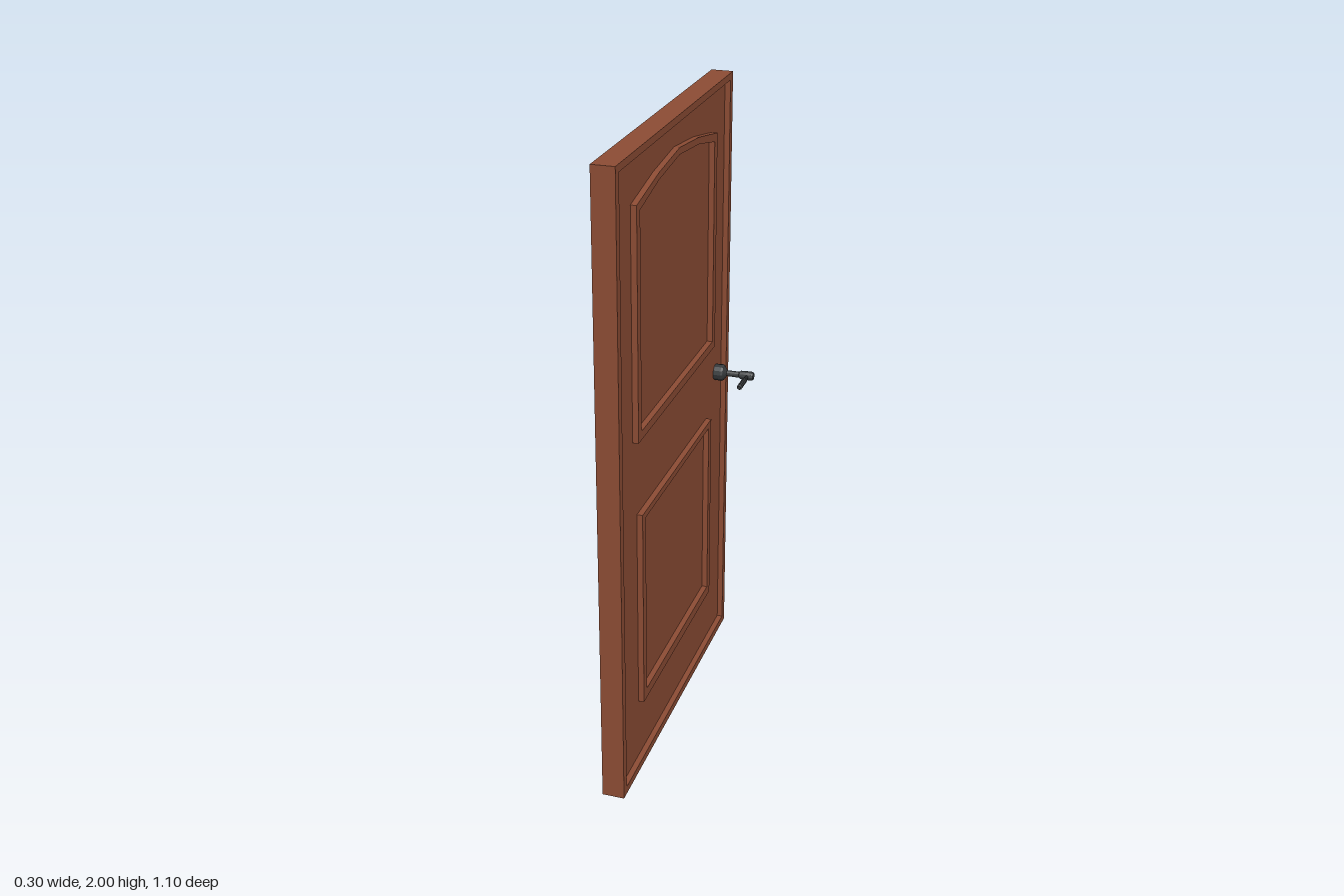
import * as THREE from 'three';

const wood = new THREE.MeshStandardMaterial({ color: 0x8c4c34 });
wood.name = 'wood';
const metal = new THREE.MeshStandardMaterial({ color: 0x35383a, flatShading: true });
metal.name = 'darkMetal';

const HALF = 0.035;   // half thickness of the door
const RECESS = 0.018; // depth of the sunken faces
const AXIS_Y = 1.013;
const AXIS_Z = -0.456;

function mesh(name, geometry, material) {
  const m = new THREE.Mesh(geometry, material);
  m.name = name;
  return m;
}

const points = (list) => list.map(([x, y]) => new THREE.Vector2(x, y));
const rect = (w, y0, y1) => points([[-w, y0], [w, y0], [w, y1], [-w, y1]]);
const arched = (w, y0, yCorner, yMid, yTop) =>
  points([[-w, y0], [w, y0], [w, yCorner], [0.19, yMid], [0, yTop], [-0.19, yMid], [-w, yCorner]]);

// Ring between two outlines, drawn in the door plane and extruded across its thickness
function ring(outer, inner, x0, x1) {
  const shape = new THREE.Shape(outer);
  shape.holes.push(new THREE.Path(inner));
  const g = new THREE.ExtrudeGeometry(shape, { depth: x1 - x0, bevelEnabled: false });
  return g.translate(0, 0, x0).rotateY(Math.PI / 2);
}

// Handle for the +x face, its lever pointing towards the middle of the door
function handle() {
  const group = new THREE.Group();
  const spindle = new THREE.LatheGeometry(points([
    [0.027, HALF - RECESS], [0.028, 0.042], [0.025, 0.048], [0.014, 0.055], [0.010, 0.058],
    [0.010, 0.100], [0.014, 0.105], [0.015, 0.125], [0.015, 0.143], [0.012, 0.149], [0, 0.150],
  ]), 12).rotateZ(-Math.PI / 2);
  const lever = new THREE.LatheGeometry(points([
    [0.006, 0], [0.006, 0.032], [0.009, 0.038], [0.009, 0.100], [0.006, 0.105], [0, 0.105],
  ]), 10).rotateX(Math.PI / 2);
  const grip = mesh('lever', lever, metal);
  grip.position.x = 0.129;
  group.add(mesh('rosetteAndSpindle', spindle, metal), grip);
  group.position.set(0, AXIS_Y, AXIS_Z);
  return group;
}

export function createModel() {
  const door = new THREE.Group();
  door.name = 'door';

  // Core slab and the raised rim around its edge
  const core = mesh('doorCore', new THREE.BoxGeometry(2 * (HALF - RECESS), 1.96, 1.06), wood);
  core.position.y = 1;
  door.add(core);
  door.add(mesh('doorRim', ring(rect(0.55, 0, 2), rect(0.523, 0.025, 1.978), -HALF, HALF), wood));

  // Raised mouldings on both faces
  const mouldings = [
    ['upperMoulding', arched(0.385, 1.135, 1.846, 1.883, 1.903), arched(0.356, 1.162, 1.825, 1.862, 1.882)],
    ['lowerMoulding', rect(0.354, 0.227, 0.886), rect(0.325, 0.26, 0.865)],
  ];
  for (const [name, outer, inner] of mouldings) {
    door.add(mesh(name + 'Left', ring(outer, inner, 0.01, HALF), wood));
    door.add(mesh(name + 'Right', ring(outer, inner, -HALF - 0.002, -0.01), wood));
  }

  // Handles, mirrored across the door
  const leftHandle = handle();
  leftHandle.name = 'leftHandle';
  const rightHandle = handle();
  rightHandle.name = 'rightHandle';
  rightHandle.scale.x = -1;
  door.add(leftHandle, rightHandle);

  return door;
}
